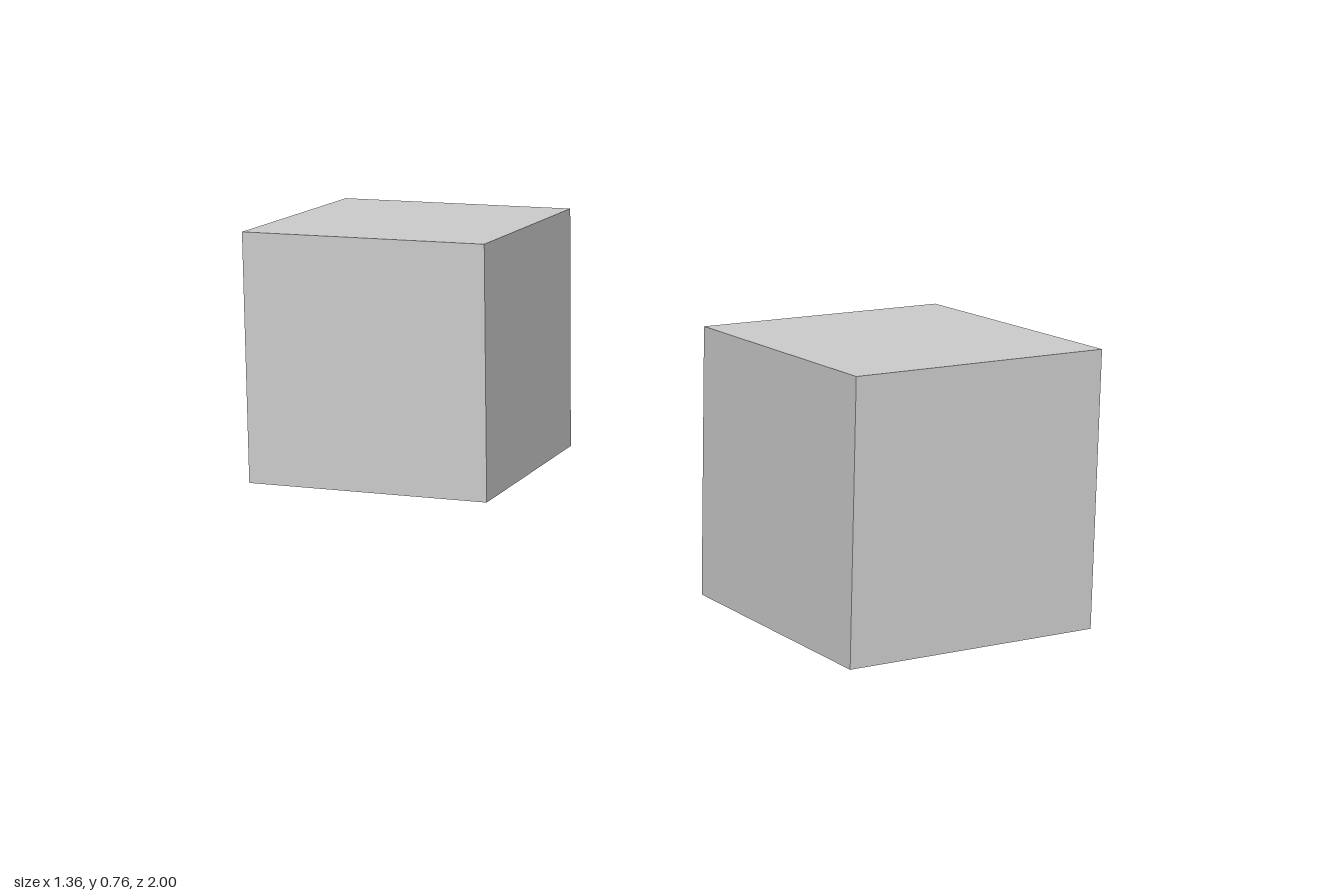
import * as THREE from 'three';

const SIDE = 0.621;

export function createModel() {
  const model = new THREE.Group();
  const material = new THREE.MeshStandardMaterial({ color: 0xcccccc, flatShading: true });
  const geometry = new THREE.BoxGeometry(SIDE, SIDE, SIDE);

  const addCube = (name, x, y, z, turn = 0) => {
    const cube = new THREE.Mesh(geometry, material);
    cube.name = name;
    cube.position.set(x, y, z);
    cube.rotation.y = THREE.MathUtils.degToRad(turn);
    model.add(cube);
  };

  // Square-on cube resting on the ground
  addCube('frontCube', 0.368, SIDE / 2, 0.6895);
  // Raised cube, turned about the vertical axis
  addCube('rearCube', -0.241, 0.448, -0.562, 44.3);

  return model;
}
